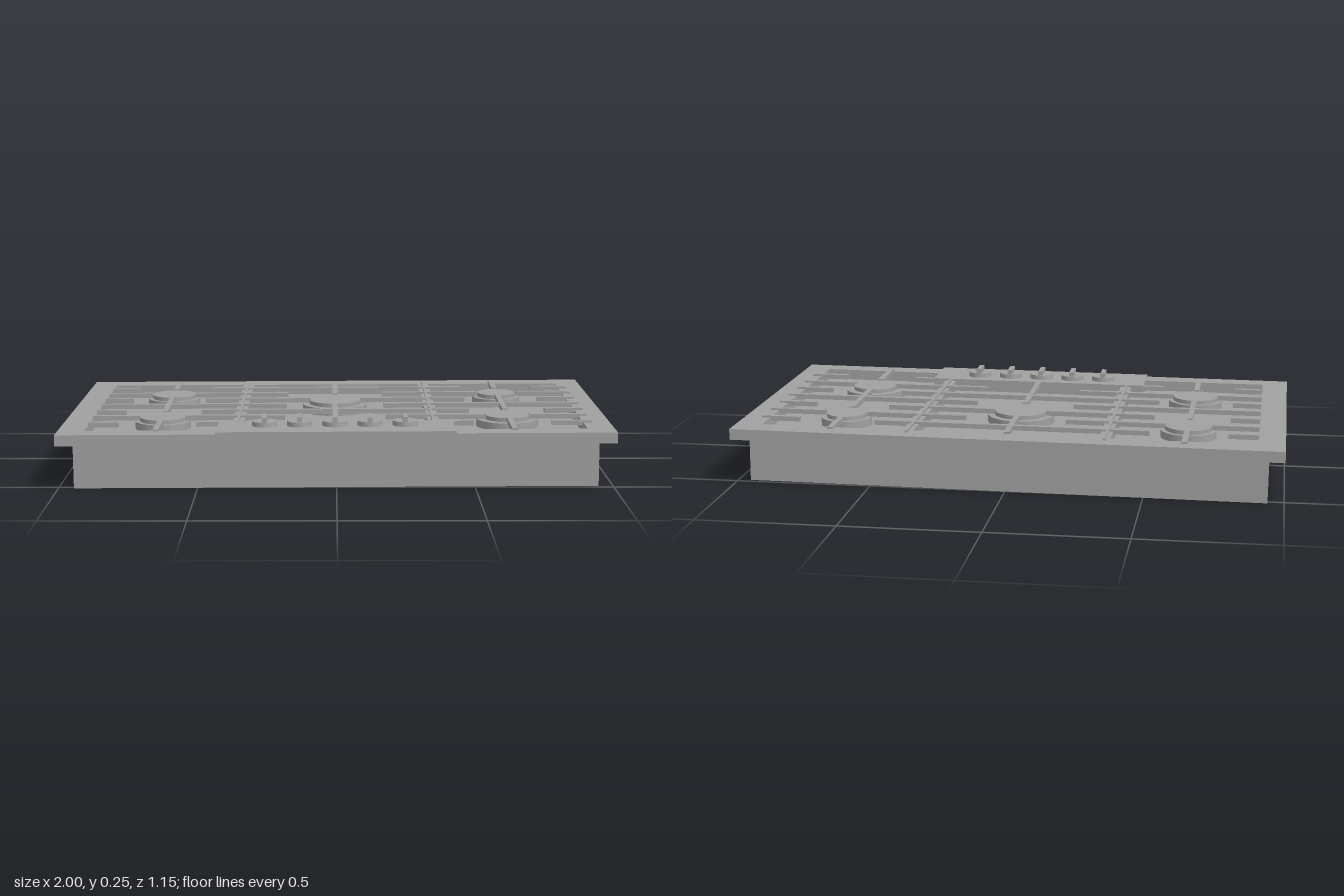
import * as THREE from 'three';

export function createModel() {
  const model = new THREE.Group();
  model.name = 'gasCooktop';
  const steel = new THREE.MeshStandardMaterial({ color: 0xa0a0a0 });
  steel.name = 'brushedSteel';

  const add = (name, geometry, x = 0, y = 0, z = 0, parent = model) => {
    const mesh = new THREE.Mesh(geometry, steel);
    mesh.name = name;
    mesh.position.set(x, y, z);
    parent.add(mesh);
    return mesh;
  };
  // box given by its limits on each axis
  const box = (name, x0, x1, y0, y1, z0, z1, parent) =>
    add(name, new THREE.BoxGeometry(x1 - x0, y1 - y0, z1 - z0),
      (x0 + x1) / 2, (y0 + y1) / 2, (z0 + z1) / 2, parent);
  const outline = (points, Type = THREE.Path) =>
    new Type(points.map(([x, z]) => new THREE.Vector2(x, z)));

  // body below the counter; its top is the floor of the basins
  box('body', -0.943, 0.943, 0, 0.165, -0.517, 0.519);

  // top plate with three sunken basins, the outer two notched for the panel
  const plate = outline([[-1, -0.575], [1, -0.575], [1, 0.571], [-1, 0.571]], THREE.Shape);
  for (const s of [-1, 1]) {
    plate.holes.push(outline([
      [s * 0.903, -0.483], [s * 0.38, -0.483], [s * 0.38, 0.36],
      [s * 0.428, 0.36], [s * 0.428, 0.493], [s * 0.903, 0.493],
    ]));
  }
  plate.holes.push(outline([[-0.337, -0.483], [0.337, -0.483], [0.337, 0.36], [-0.337, 0.36]]));
  const plateGeometry = new THREE.ExtrudeGeometry(plate, { depth: 0.04, bevelEnabled: false });
  plateGeometry.rotateX(Math.PI / 2);
  add('topPlate', plateGeometry, 0, 0.205, 0);

  // raised control panel
  box('controlPanel', -0.428, 0.428, 0.2, 0.213, 0.358, 0.571);

  // knobs with a narrow grip
  for (let i = -2; i <= 2; i++) {
    const knob = new THREE.Group();
    knob.name = 'knob';
    knob.position.set(i * 0.127 - 0.004, 0.213, 0.443);
    add('knobBase', new THREE.CylinderGeometry(0.045, 0.046, 0.017, 32), 0, 0.0085, 0, knob);
    box('knobGrip', -0.009, 0.009, 0.015, 0.035, -0.042, 0.042, knob);
    model.add(knob);
  }

  // burners: x, z, ring radius, cap radius
  const burners = [
    [-0.645, -0.255, 0.103, 0.086],
    [-0.645, 0.23, 0.103, 0.086],
    [-0.003, -0.115, 0.126, 0.1],
    [0.64, -0.262, 0.095, 0.075],
    [0.64, 0.217, 0.115, 0.086],
  ];
  for (const [x, z, ring, cap] of burners) {
    const burner = new THREE.Group();
    burner.name = 'burner';
    burner.position.set(x, 0, z);
    add('burnerRing', new THREE.CylinderGeometry(ring, ring, 0.028, 40), 0, 0.179, 0, burner);
    add('burnerCap', new THREE.CylinderGeometry(cap, cap, 0.016, 40), 0, 0.2, 0, burner);
    model.add(burner);
  }

  // pan supports
  const supports = new THREE.Group();
  supports.name = 'panSupports';
  model.add(supports);
  const low = 0.195, high = 0.2125, half = 0.01;
  const barX = (z, x0, x1) => box('crossBar', x0, x1, low, high, z - half, z + half, supports);
  const barZ = (x, z0, z1, w = half) => box('longBar', x - w, x + w, low, high + 0.0005, z0, z1, supports);

  // bars running front to back, broken at the burners
  for (const x of [-0.36, 0.358]) barZ(x, -0.52, 0.36, 0.005);
  const lines = [[-0.645, -0.52, 0.51], [-0.003, -0.483, 0.36], [0.64, -0.515, 0.515]];
  for (const [x, z0, z1] of lines) {
    let start = z0;
    for (const [, z, , cap] of burners.filter((b) => b[0] === x)) {
      barZ(x, start, z - cap);
      start = z + cap;
    }
    barZ(x, start, z1);
  }

  // stubs along both outer sides
  for (const z of [-0.372, -0.128, 0.118, 0.365]) {
    barX(z, -0.905, -0.795);
    barX(z, 0.79, 0.935);
  }
  // full cross bars of the centre grate
  for (const z of [-0.375, 0.115]) barX(z, -0.51, 0.505);
  // fingers pointing at the side burners
  for (const z of [-0.252, 0.235]) {
    barX(z, -0.905, -0.73);
    barX(z, -0.56, -0.19);
    barX(z, 0.185, 0.56);
    barX(z, 0.72, 0.935);
  }
  // middle bars, centre burner fingers and front ends beside the panel
  barX(-0.005, -0.905, -0.19);
  barX(-0.005, 0.185, 0.935);
  barX(-0.128, -0.51, -0.1);
  barX(-0.128, 0.095, 0.505);
  barX(0.362, -0.51, -0.42);
  barX(0.362, 0.42, 0.505);

  // the whole unit sits very slightly out of level
  model.rotation.set(0, -0.0025, 0.005);
  model.position.y = 0.005;
  return model;
}
